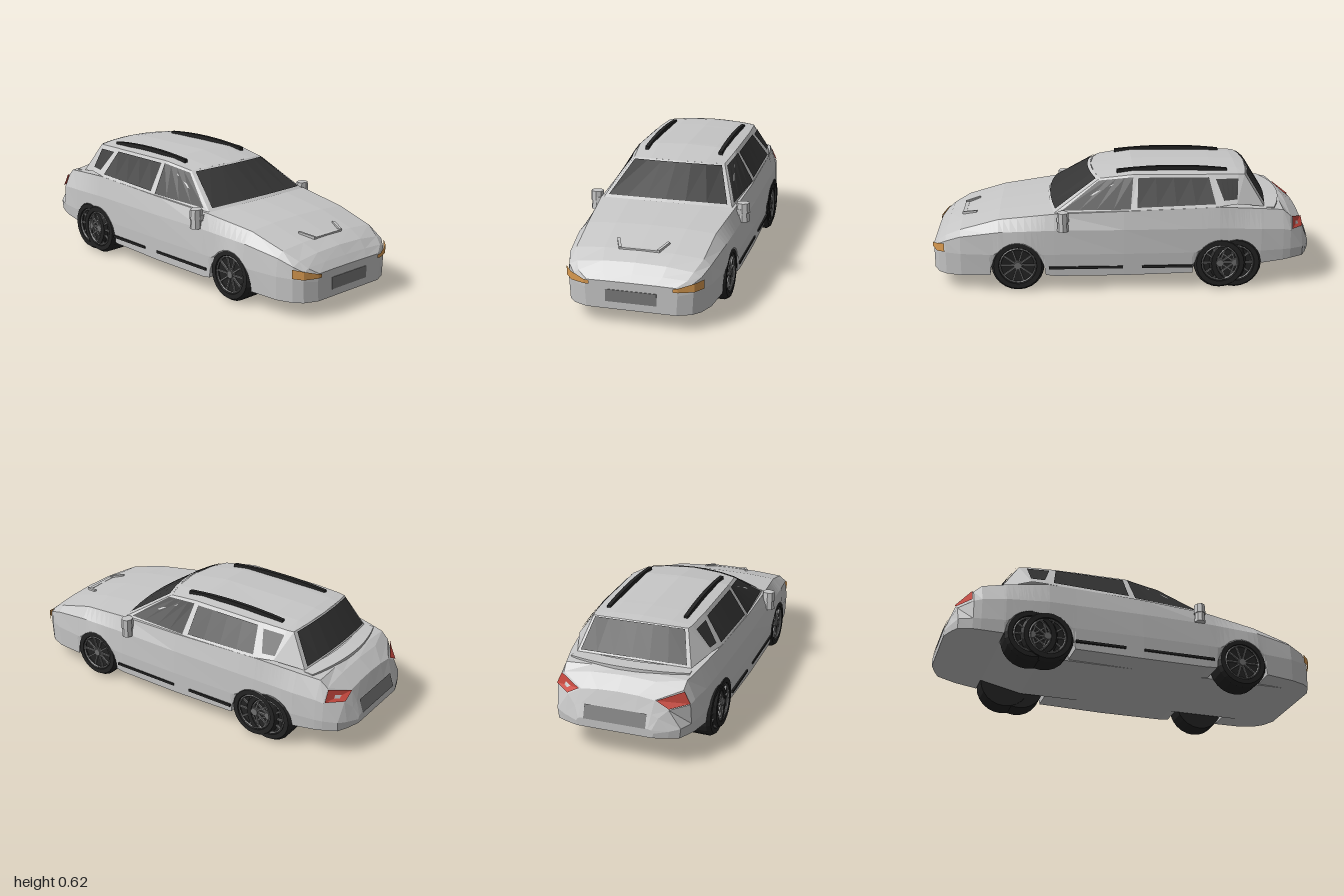
import * as THREE from 'three';

const mat = (name, color) => new THREE.MeshStandardMaterial({ name, color, side: THREE.DoubleSide });
const lerp = THREE.MathUtils.lerp;

export function createModel() {
  const car = new THREE.Group();
  car.name = 'car';
  const paint = mat('silver paint', 0xc6c6c6), glass = mat('dark glass', 0x353535);
  const rubber = mat('black rubber', 0x232323), metal = mat('wheel metal', 0x707070);
  const amber = mat('amber lamp', 0xd99a50), red = mat('red lamp', 0xc8483e);
  const grey = mat('plate grey', 0x7a7a7a);

  const add = (name, geo, material, parent = car) => {
    const g = geo.index ? geo.toNonIndexed() : geo;
    g.computeVertexNormals();
    const m = new THREE.Mesh(g, material);
    m.name = name;
    parent.add(m);
    return m;
  };
  // Faceted surface from a grid of points p(i, j) = [x, y, z]
  const grid = (nu, nv, p) => {
    const pos = [], idx = [];
    for (let i = 0; i <= nu; i++) for (let j = 0; j <= nv; j++) pos.push(...p(i, j));
    for (let i = 0; i < nu; i++) for (let j = 0; j < nv; j++) {
      const a = i * (nv + 1) + j, b = a + nv + 1;
      idx.push(a, b, a + 1, b, b + 1, a + 1);
    }
    const g = new THREE.BufferGeometry();
    g.setAttribute('position', new THREE.Float32BufferAttribute(pos, 3));
    g.setIndex(idx);
    return g;
  };
  const mix = (a, b, t) => a.map((v, i) => lerp(v, b[i], t));
  const bend = (geo, rule) => {
    const p = geo.attributes.position;
    for (let i = 0; i < p.count; i++) p.setXYZ(i, ...rule(p.getX(i), p.getY(i), p.getZ(i)));
    return geo;
  };

  // Lower body stations: x, floor y, belly z/y, shoulder z/y, deck edge z/y, deck centre y
  const stations = [
    [-1, .155, .20, .18, .19, .195, .17, .2, .2],
    [-.975, .152, .27, .19, .215, .25, .18, .265, .27],
    [-.95, .15, .32, .2, .26, .29, .19, .33, .345],
    [-.88, .145, .35, .2, .345, .3, .31, .37, .4],
    [-.84, .14, .36, .2, .355, .31, .315, .405, .415],
    [-.72, .13, .378, .2, .376, .32, .34, .42, .425],
    [-.5, .08, .39, .2, .39, .33, .37, .44, .44],
    [0, .08, .398, .2, .395, .33, .375, .425, .43],
    [.36, .08, .396, .2, .39, .33, .36, .41, .425],
    [.65, .08, .39, .2, .38, .32, .33, .375, .39],
    [.85, .08, .365, .2, .355, .29, .32, .32, .335],
    [.93, .08, .335, .2, .33, .26, .29, .28, .3],
    [.97, .08, .3, .19, .295, .235, .27, .25, .258],
    [1, .08, .23, .18, .225, .21, .22, .22, .222],
  ];
  const wheelX = [.553, -.505, -.585];
  const archY = x => Math.max(...wheelX.map(c => {
    const d = Math.abs(x - c) / .145;
    return d < 1 ? .08 + .175 * Math.sqrt(1 - d * d) : 0;
  }));
  const xs = stations.map(s => s[0]);
  for (const c of wheelX) for (let k = -6; k <= 6; k++) xs.push(c + .1449 * Math.sin(k * Math.PI / 12));
  xs.sort((a, b) => a - b);
  const section = x => {
    let i = 0;
    while (i < stations.length - 2 && stations[i + 1][0] < x) i++;
    const A = stations[i], B = stations[i + 1];
    const [, b, w, yw, ws, ys, wd, yd, yc] = mix(A, B, (x - A[0]) / (B[0] - A[0]));
    const a = Math.max(b, archY(x)), inner = Math.min(.25, w * .8);
    const half = [[b, 0], [b, inner], [a, inner], [a, w - .006], [Math.max(yw, a + .01), w],
      [ys, ws], [yd, wd], [lerp(yd, yc, .75), wd * .55], [yc, 0]];
    return [...half, ...half.slice(0, -1).reverse().map(([y, z]) => [y, -z])].map(([y, z]) => [x, y, z]);
  };
  const rings = xs.map(section);
  const flat = r => r.map(([x, y]) => [x, y, 0]);
  rings.unshift(flat(rings[0]));
  rings.push(flat(rings[rings.length - 1]));
  add('lowerBody', grid(rings.length - 1, 16, (i, j) => rings[i][j]), paint);

  // Cabin pillars, each from belt point to roof point
  const pillars = [
    [[-.74, .42, .30], [-.64, .582, .25]],
    [[-.59, .45, .355], [-.605, .584, .258]],
    [[-.53, .445, .365], [-.475, .588, .265]],
    [[-.48, .44, .37], [-.445, .588, .267]],
    [[-.07, .425, .372], [-.08, .592, .27]],
    [[-.035, .42, .372], [-.055, .592, .27]],
    [[.36, .412, .345], [.12, .568, .25]],
  ];
  const pillarAt = (i, t, v) => t === 0 ? mix(...pillars[i], v)
    : mix(mix(...pillars[i], v), mix(...pillars[i + 1], v), t);
  const bulge = f => 1 - f * f;
  // Windscreen and tailgate: f runs across, v runs from base to roof
  const screen = (end, f, v) => {
    const [x, y, z] = pillarAt(end, 0, v);
    const bow = end ? lerp(.035, .045, v) : -.025;
    return [x + bow * bulge(f), y + .012 * bulge(f), z * f];
  };
  const roofF = [1, .6, 0, -.6, -1];
  add('roof', grid(6, 4, (i, j) => {
    const f = roofF[j], [x, y, z] = pillars[i][1];
    const bow = i === 6 ? .045 : i === 0 ? -.025 : 0;
    return [x + bow * bulge(f), y + (i === 6 || i === 0 ? .012 : .018) * bulge(f), z * f];
  }), paint);
  for (const [name, end, dx, lo, hi] of [['windscreen', 6, .005, .06, .95], ['rearWindow', 0, -.005, .05, .96]]) {
    add(name + 'Frame', grid(6, 1, (i, j) => screen(end, i / 3 - 1, j)), paint);
    add(name, grid(6, 1, (i, j) => {
      const [x, y, z] = screen(end, (i / 3 - 1) * .94, j ? hi : lo);
      return [x + dx, y + .004, z];
    }), glass);
  }

  for (const s of [1, -1]) {
    const side = s > 0 ? 'left' : 'right';
    const mirror = ([x, y, z]) => [x, y, z * s];
    add(side + 'CabinSide', grid(6, 1, (i, j) => mirror(pillars[i][j])), paint);
    // Side windows between pillars
    const windows = [['QuarterWindow', 1, 0, 1, .15, .84], ['RearDoorWindow', 3, 0, 1, .08, .9], ['FrontDoorWindow', 5, 0, .93, .06, .92]];
    for (const [name, i, t0, t1, lo, hi] of windows) {
      add(side + name, grid(4, 1, (u, v) => {
        const [x, y, z] = pillarAt(i, lerp(t0, t1, u / 4), v ? hi : lo);
        return mirror([x, y + .003, z + .005]);
      }), glass);
    }
    // Roof rail
    add(side + 'RoofRail', bend(new THREE.BoxGeometry(.58, .022, .02, 8), (x, y, z) =>
      [x - .26, y + .61 - .2 * x * x, z + s * .205]), rubber);
    // Sill strips
    for (const [x0, x1] of [[-.36, -.095], [.005, .39]]) {
      const strip = add(side + 'SillStrip', new THREE.BoxGeometry(x1 - x0, .013, .012), rubber);
      strip.position.set((x0 + x1) / 2, .127, s * .394);
    }
    // Headlamp wrapped round the nose corner: x, z, bottom, top
    const lamp = [[1.003, .205, .2, .217], [1.003, .23, .2, .222], [.974, .303, .2, .243], [.932, .34, .206, .252]];
    add(side + 'Headlamp', grid(3, 1, (i, j) => {
      const [x, z, y0, y1] = lamp[i];
      return mirror([x + .003, j ? y1 : y0, z + .003]);
    }), amber);
    // Tail lamp on the rear corner
    const tail = [[[-.95, .295, .258], [-.95, .33, .195]], [[-.882, .305, .343], [-.882, .365, .314]]];
    add(side + 'TailLamp', grid(1, 1, (i, j) => {
      const [x, y, z] = tail[i][j];
      return mirror([x - .006, y + .003, z + .004]);
    }), red);
    // Door mirror: two stacked pods and a stalk
    const pod = new THREE.Group();
    pod.name = side + 'DoorMirror';
    for (const [y, w, h] of [[.405, .075, .05], [.355, .07, .05]]) {
      add('mirrorPod', new THREE.CylinderGeometry(w * .45, w * .5, h, 8).scale(.85, 1, 1), paint, pod)
        .position.set(.315, y, s * .394);
    }
    add('mirrorStalk', new THREE.BoxGeometry(.04, .03, .06), paint, pod).position.set(.325, .385, s * .365);
    car.add(pod);
    // Bonnet crease
    const crease = add(side + 'BonnetCrease', new THREE.BoxGeometry(.085, .014, .014), paint);
    crease.position.set(.815, .346, s * .112);
    crease.rotation.set(0, s * .4, -.2);
  }

  // Bonnet lip and tail spoiler
  add('bonnetLip', bend(new THREE.BoxGeometry(.02, .012, .2), (x, y, z) => [x + .845, y + .334, z]), paint);
  add('tailSpoiler', bend(new THREE.BoxGeometry(.08, .02, .62, 1, 1, 10), (x, y, z) =>
    [x - .81 + .6 * z * z, y + .418 - .1 * z * z, z]), paint);
  // Number plates
  add('frontPlate', new THREE.BoxGeometry(.006, .062, .255), grey).position.set(1, .149, 0);
  add('rearPlate', grid(1, 1, (i, j) => [j ? -.981 : -1.004, j ? .268 : .2, i ? .16 : -.16]), grey);

  // Wheels with thin spokes
  const tyre = [[0, -.065], [.136, -.065], [.138, .045], [.125, .065], [.1, .065], [.094, .045], [0, .04]]
    .map(([r, y]) => new THREE.Vector2(r, y));
  wheelX.forEach((x, n) => {
    for (const s of [1, -1]) {
      const wheel = new THREE.Group();
      wheel.name = (n ? 'rear' : 'front') + 'Wheel';
      add('tyre', new THREE.LatheGeometry(tyre, 24), rubber, wheel);
      add('rim', new THREE.TorusGeometry(.092, .005, 4, 24).rotateX(Math.PI / 2), metal, wheel).position.y = .058;
      add('hub', new THREE.CylinderGeometry(.02, .024, .02, 10), metal, wheel).position.y = .052;
      for (let k = 0; k < 10; k++) {
        add('spoke', new THREE.BoxGeometry(.075, .01, .008).translate(.055, .052, 0).rotateY(k * Math.PI / 5), metal, wheel);
      }
      wheel.rotation.x = s * Math.PI / 2;
      wheel.position.set(x, .138, s * (n === 1 ? .329 : .325));
      car.add(wheel);
    }
  });
  return car;
}
